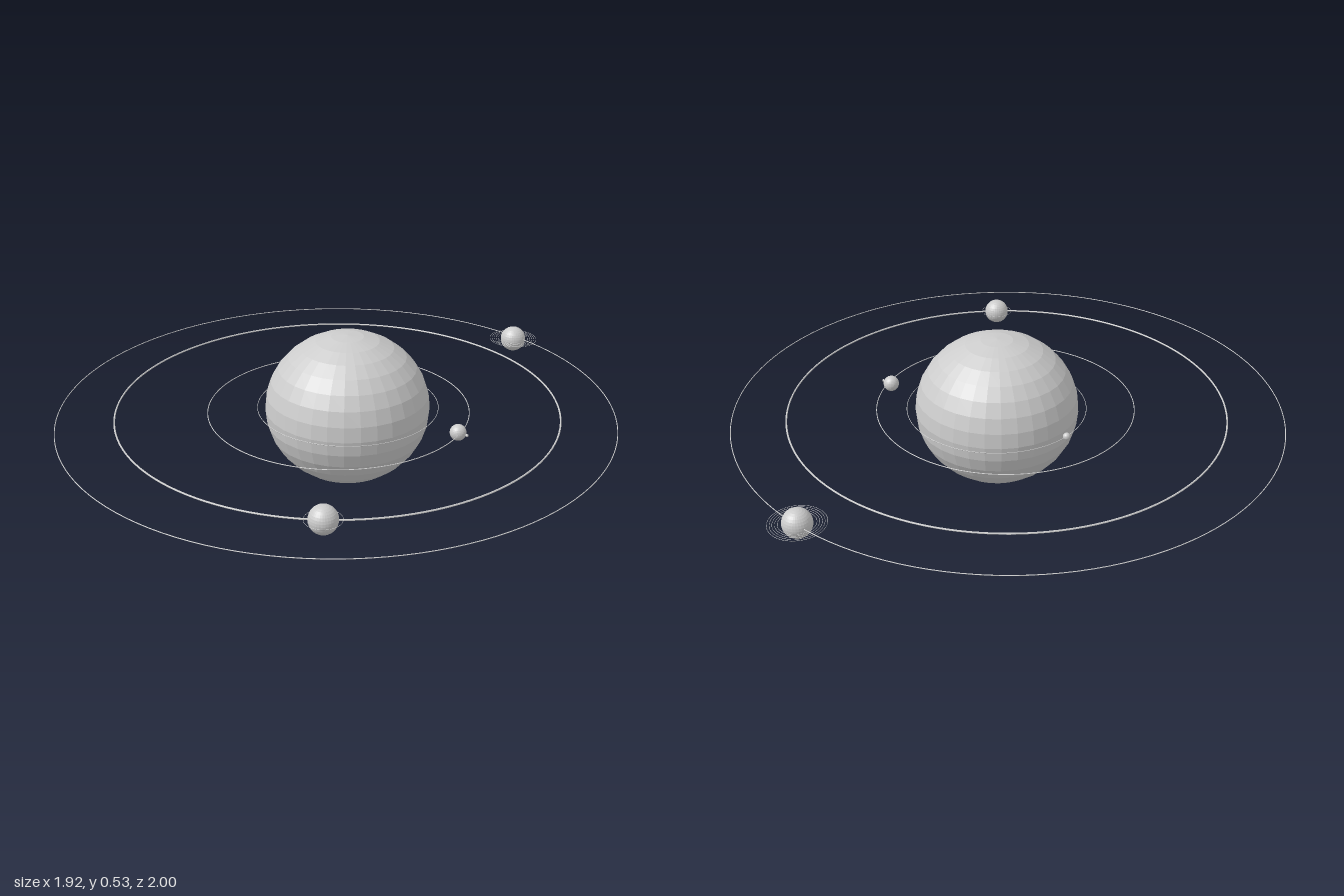
import * as THREE from 'three';

const material = new THREE.MeshStandardMaterial({ color: 0xcccccc, flatShading: true });

function addBall(group, name, [x, y, z], radius, height = radius) {
  const ball = new THREE.Mesh(new THREE.SphereGeometry(radius, 32, 16), material);
  ball.name = name;
  ball.scale.y = height / radius;
  ball.position.set(x, y, z);
  group.add(ball);
}

function addRing(group, name, [x, y, z], radius, thickness, segments = 128) {
  const geometry = new THREE.TorusGeometry(radius, thickness, 6, segments);
  geometry.rotateX(Math.PI / 2);
  const ring = new THREE.Mesh(geometry, material);
  ring.name = name;
  ring.position.set(x, y, z);
  group.add(ring);
}

export function createModel() {
  const model = new THREE.Group();
  model.name = 'planetarySystem';

  // Slightly flattened central star
  addBall(model, 'star', [0.02, 0.267, 0.004], 0.286, 0.265);

  // Orbit lines, from the inside out
  addRing(model, 'firstOrbit', [0.02, 0.27, 0.002], 0.314, 0.001);
  addRing(model, 'secondOrbit', [0.008, 0.267, 0.035], 0.452, 0.0015);
  addRing(model, 'thirdOrbit', [0, 0.271, 0.032], 0.765, 0.003);
  addRing(model, 'fourthOrbit', [-0.001, 0.266, 0.037], 0.957, 0.0015);

  // Planets and the small moon beside the second one
  addBall(model, 'firstPlanet', [-0.295, 0.271, 0.003], 0.013);
  addBall(model, 'secondPlanet', [0.418, 0.266, -0.129], 0.028);
  addBall(model, 'moon', [0.454, 0.266, -0.133], 0.005);
  addBall(model, 'thirdPlanet', [0.537, 0.272, 0.575], 0.046);
  addBall(model, 'fourthPlanet', [0.003, 0.262, -0.908], 0.048);

  // Fine rings around the outer planets
  addRing(model, 'thirdPlanetRing', [0.537, 0.272, 0.575], 0.058, 0.0006, 64);
  for (let i = 0; i < 5; i++) {
    addRing(model, 'fourthPlanetRing', [0.003, 0.262, -0.908], 0.059 + i * 0.008, 0.0006, 64);
  }

  return model;
}
